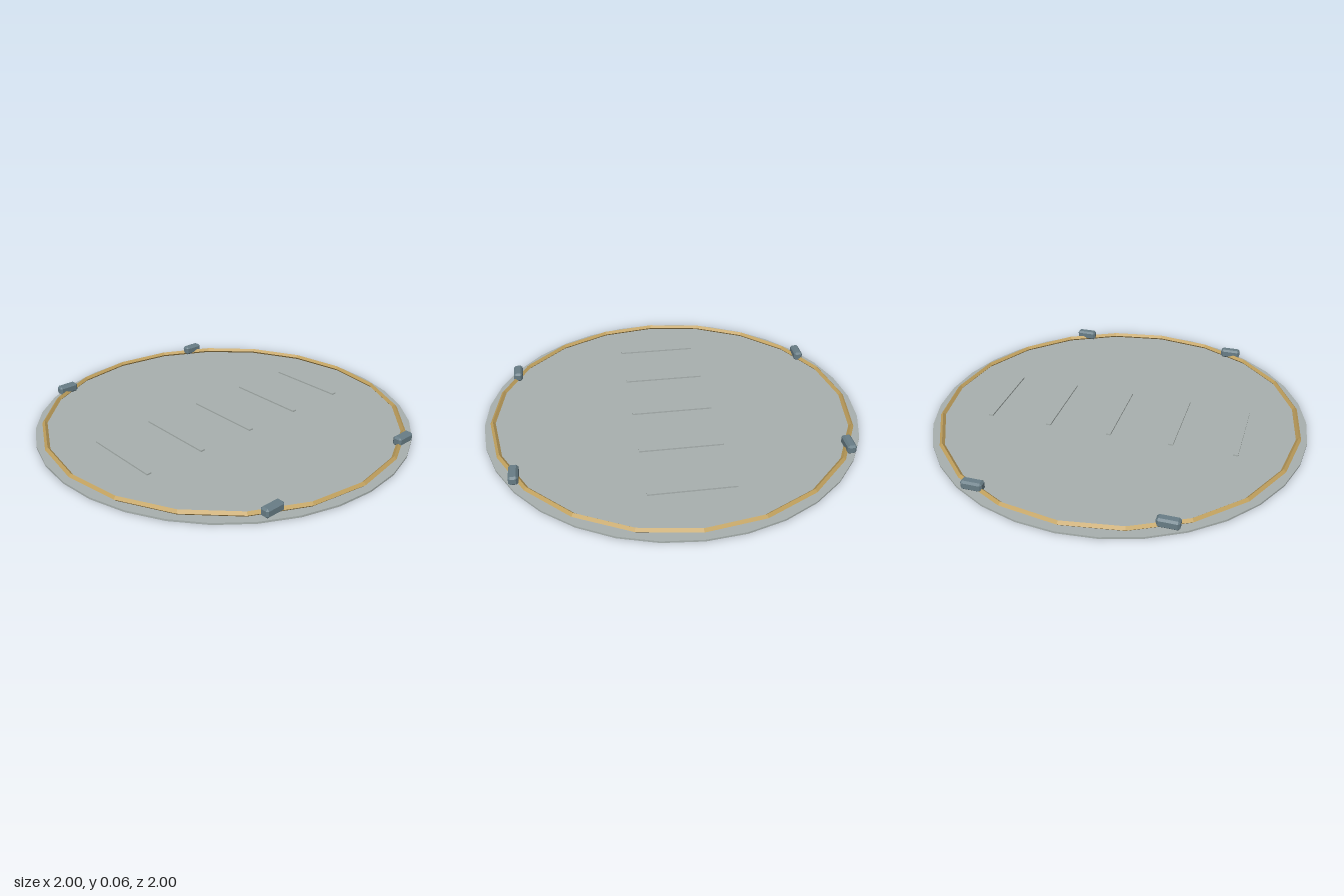
import * as THREE from 'three';
import { ConvexGeometry } from 'three/addons/geometries/ConvexGeometry.js';

const mat = (name, color) => {
  const m = new THREE.MeshStandardMaterial({ color, flatShading: true });
  m.name = name;
  return m;
};

// Box with every edge chamfered by c
function chamferedBox(w, h, d, c) {
  const points = [];
  for (const sx of [-1, 1]) for (const sy of [-1, 1]) for (const sz of [-1, 1]) {
    const x = w / 2, y = h / 2, z = d / 2;
    points.push(
      new THREE.Vector3(sx * x, sy * (y - c), sz * (z - c)),
      new THREE.Vector3(sx * (x - c), sy * y, sz * (z - c)),
      new THREE.Vector3(sx * (x - c), sy * (y - c), sz * z));
  }
  return new ConvexGeometry(points);
}

export function createModel() {
  const group = new THREE.Group();
  const plateGrey = mat('plate grey', 0xa8b0ae);
  const brass = mat('brass', 0xbf9f5c);
  const slate = mat('slate', 0x687d86);

  const add = (name, geometry, material, x, y, z) => {
    const mesh = new THREE.Mesh(geometry, material);
    mesh.name = name;
    mesh.position.set(x, y, z);
    group.add(mesh);
    return mesh;
  };

  // Thin round base plate
  add('plate', new THREE.CylinderGeometry(1, 1, 0.01, 32), plateGrey, 0, 0.005, 0);

  // Faceted rim ring lying on the plate
  const ring = new THREE.TorusGeometry(0.955, 0.0135, 4, 20);
  ring.rotateX(-Math.PI / 2);
  add('rimRing', ring, brass, 0, 0.0225, 0);

  // Row of raised slats
  const slat = new THREE.BoxGeometry(0.434, 0.009, 0.025);
  for (let i = -2; i <= 2; i++) add('slat', slat, plateGrey, 0, 0.0135, i * 0.333);

  // Four clips holding the rim
  const clip = chamferedBox(0.048, 0.049, 0.11, 0.01);
  for (const sx of [-1, 1]) for (const sz of [-1, 1])
    add('clip', clip, slate, sx * 0.833, 0.0395, sz * 0.468);

  return group;
}
